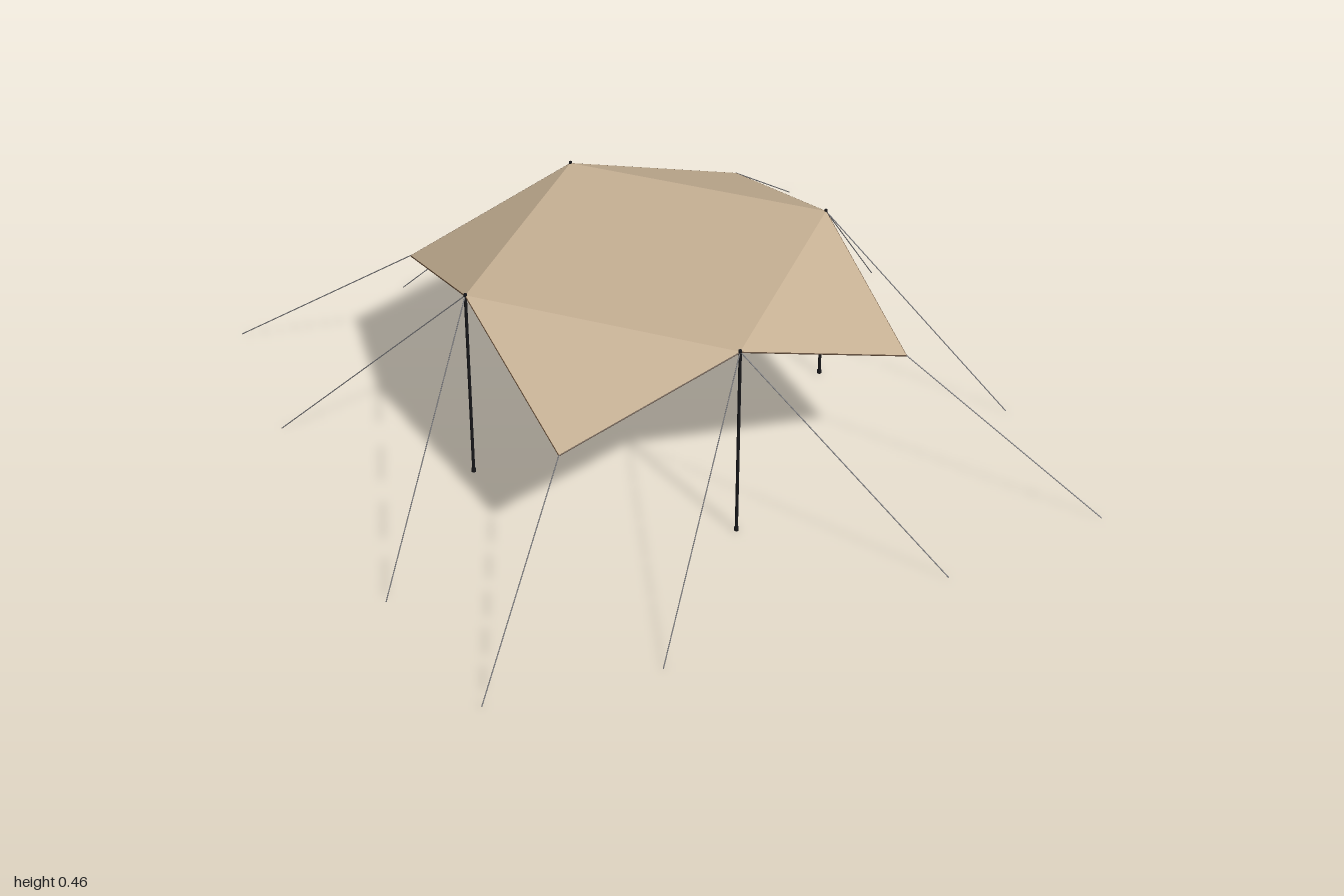
import * as THREE from 'three';

const mat = (name, color, extra = {}) => {
  const m = new THREE.MeshStandardMaterial({ color, ...extra });
  m.name = name;
  return m;
};

// Straight round bar between two points
function bar(name, a, b, radius, material, sides = 6) {
  const d = b.clone().sub(a);
  const mesh = new THREE.Mesh(new THREE.CylinderGeometry(radius, radius, d.length(), sides), material);
  mesh.position.copy(a).addScaledVector(d, 0.5);
  mesh.quaternion.setFromUnitVectors(new THREE.Vector3(0, 1, 0), d.normalize());
  mesh.name = name;
  return mesh;
}

export function createModel() {
  const V = (x, y, z) => new THREE.Vector3(x, y, z);
  const group = new THREE.Group();
  group.name = 'tarpShelter';

  const canvas = mat('tan canvas', 0xc8b295);
  const lining = mat('dark brown lining', 0x644c36);
  const poleMat = mat('black pole', 0x17171a);
  const ropeMat = mat('grey rope', 0x77777a);

  // Pole tops and flap tips, both counter-clockwise seen from above
  const tops = [V(-0.3, 0.455, 0.315), V(0.292, 0.455, 0.315), V(0.292, 0.43, -0.28), V(-0.3, 0.43, -0.28)];
  const tips = [V(0, 0.302, 0.565), V(0.56, 0.313, 0.02), V(0, 0.31, -0.55), V(-0.56, 0.313, 0.02)];

  // Canvas: a roof panel and four hanging flaps, with a lining just below
  const panels = [[tops[0], tops[1], tops[2]], [tops[0], tops[2], tops[3]]];
  tips.forEach((tip, i) => panels.push([tops[i], tip, tops[(i + 1) % 4]]));
  const sheet = (name, tris, drop, material) => {
    const points = tris.flat().map(p => V(p.x, p.y - drop, p.z));
    const geo = new THREE.BufferGeometry().setFromPoints(points);
    geo.computeVertexNormals();
    const mesh = new THREE.Mesh(geo, material);
    mesh.name = name;
    group.add(mesh);
  };
  sheet('canvasTop', panels, 0, canvas);
  sheet('canvasLining', panels.map(t => [...t].reverse()), 0.003, lining);

  // Hem around the outer edge
  tips.forEach((tip, i) => {
    for (const end of [tops[i], tops[(i + 1) % 4]]) {
      const drop = V(0, -0.0015, 0);
      group.add(bar('hem', tip.clone().add(drop), end.clone().add(drop), 0.0015, lining, 4));
    }
  });

  // Poles with foot and spike, each held by two guy ropes
  tops.forEach(t => {
    const foot = V(t.x, 0, t.z);
    group.add(bar('pole', foot, V(t.x, t.y + 0.004, t.z), 0.0035, poleMat, 8));
    group.add(bar('poleFoot', foot, V(t.x, 0.008, t.z), 0.005, poleMat, 8));
    const reachX = t.z > 0 ? 0.455 : 0.43;
    group.add(bar('sideGuyRope', t, V(t.x + Math.sign(t.x) * reachX, 0, t.z), 0.0012, ropeMat));
    group.add(bar('endGuyRope', t, V(t.x, 0, t.z + Math.sign(t.z) * reachX), 0.0012, ropeMat));
  });

  // One rope from each flap tip to the ground
  const anchors = [V(0, 0, 0.99), V(1, 0, 0.02), V(0, 0, -0.99), V(-1, 0, 0.02)];
  tips.forEach((tip, i) => group.add(bar('flapRope', tip, anchors[i], 0.0012, ropeMat)));

  return group;
}
